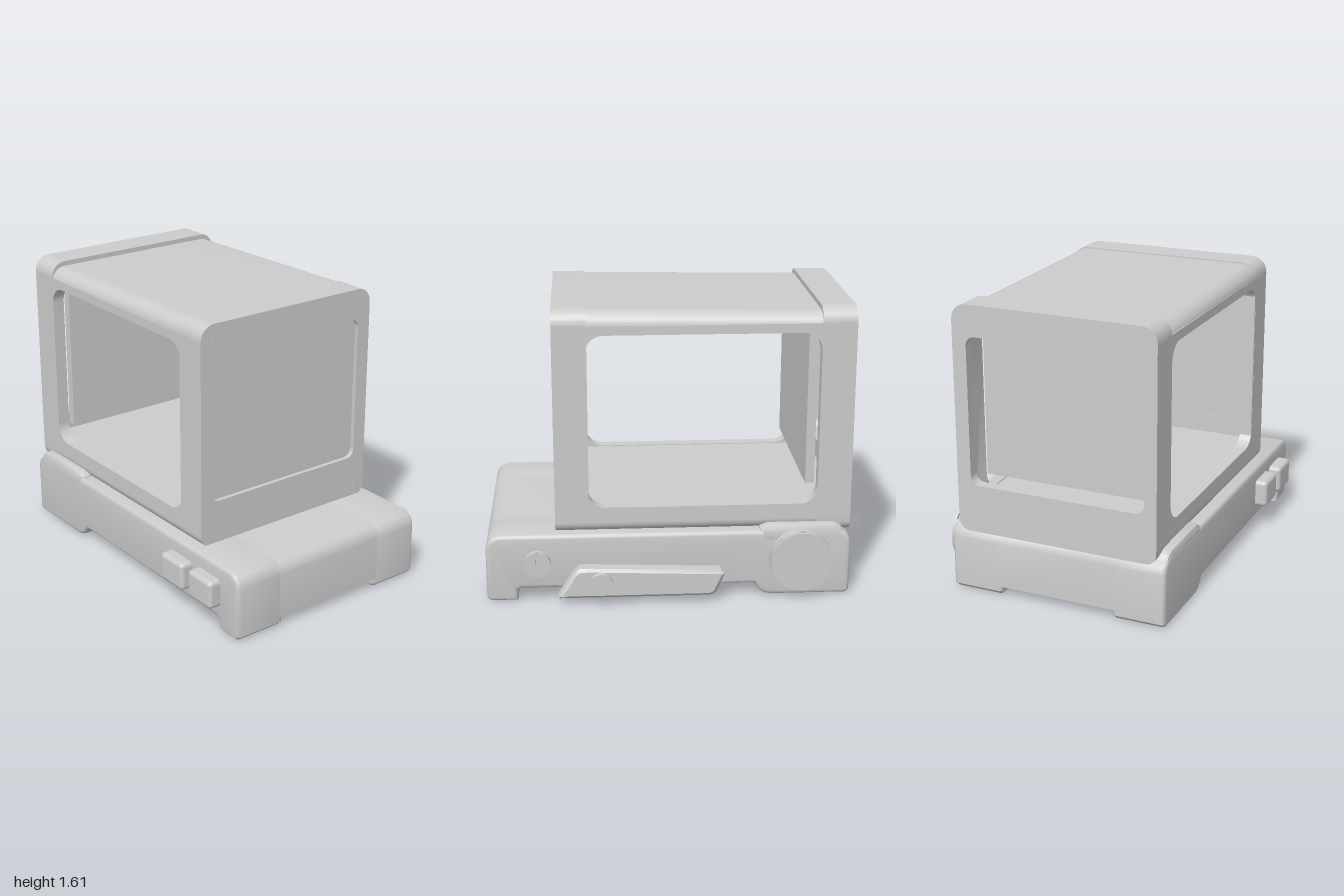
import * as THREE from 'three';
import { toCreasedNormals } from 'three/addons/utils/BufferGeometryUtils.js';
import { RoundedBoxGeometry } from 'three/addons/geometries/RoundedBoxGeometry.js';

const grey = new THREE.MeshStandardMaterial({ color: 0xcccccc });
grey.name = 'matte grey';

// Rounded rectangle path from corner limits
function roundRect(path, x0, x1, y0, y1, rBottom, rTop = rBottom) {
  path.moveTo(x0 + rBottom, y0);
  path.lineTo(x1 - rBottom, y0);
  path.absarc(x1 - rBottom, y0 + rBottom, rBottom, -Math.PI / 2, 0);
  path.absarc(x1 - rTop, y1 - rTop, rTop, 0, Math.PI / 2);
  path.absarc(x0 + rTop, y1 - rTop, rTop, Math.PI / 2, Math.PI);
  path.absarc(x0 + rBottom, y0 + rBottom, rBottom, Math.PI, Math.PI * 1.5);
  return path;
}

// Extrude a shape between two depths, with an optional bevel inside its outline
function extrude(shape, a, b, bevel = 0, bevelSegments = 1) {
  const geo = new THREE.ExtrudeGeometry(shape, {
    depth: b - a - 2 * bevel, curveSegments: 8, bevelEnabled: bevel > 0,
    bevelSize: bevel, bevelThickness: bevel, bevelOffset: -bevel, bevelSegments,
  });
  geo.translate(0, 0, a + bevel);
  return toCreasedNormals(geo, 0.6);
}

// Side profile (z, y) extruded across x
const sideShape = (pts) => new THREE.Shape(pts.map(([z, y]) => new THREE.Vector2(-z, y)));
const extrudeX = (shape, x0, x1, bevel, segments) =>
  extrude(shape, x0, x1, bevel, segments).rotateY(Math.PI / 2);

export function createModel() {
  const model = new THREE.Group();
  const add = (name, geo, x = 0, y = 0, z = 0) => {
    const mesh = new THREE.Mesh(geo, grey);
    mesh.name = name;
    mesh.position.set(x, y, z);
    model.add(mesh);
    return mesh;
  };
  const box = (name, x0, x1, y0, y1, z0, z1) => add(name, new THREE.BoxGeometry(x1 - x0, y1 - y0, z1 - z0),
    (x0 + x1) / 2, (y0 + y1) / 2, (z0 + z1) / 2);
  const disc = (name, r, x0, x1, y, z) => add(name,
    new THREE.CylinderGeometry(r, r, x1 - x0, 32).rotateZ(Math.PI / 2), (x0 + x1) / 2, y, z);

  // Base: two side sections with feet, and a centre section notched at both ends
  const deck = [[1, 0.3], [0.992, 0.335], [0.97, 0.363], [0.93, 0.38],
    [-0.92, 0.38], [-0.96, 0.367], [-0.99, 0.338], [-1, 0.3]];
  const rearToe = [[-0.56, 0], [-0.52, 0.01], [-0.49, 0.035], [-0.47, 0.07], [0.81, 0.07]];
  const side = sideShape([...deck, [-1, 0.02], [-0.98, 0], ...rearToe,
    [0.83, 0.06], [0.83, 0], [0.98, 0], [1, 0.02]]);
  const centre = sideShape([...deck, [-1, 0.05], [-0.84, 0.05], [-0.83, 0], ...rearToe,
    [0.83, 0.05], [1, 0.05]]);
  add('baseRight', extrudeX(side, -0.65, -0.35, 0.022, 3));
  add('baseLeft', extrudeX(side, 0.3, 0.6, 0.022, 3));
  add('baseCentre', extrudeX(centre, -0.38, 0.33));

  // Raised shoulders beside the back of the housing
  const shoulder = sideShape([[-0.49, 0.36], [-0.5, 0.39], [-0.54, 0.41], [-0.9, 0.41],
    [-0.94, 0.395], [-0.98, 0.34], [-0.98, 0.3], [-0.49, 0.3]]);
  add('shoulder', extrudeX(shoulder, 0.5, 0.6, 0.028, 2));
  add('shoulder', extrudeX(shoulder, -0.65, -0.55, 0.028, 2));

  // Housing ends: a raised band around the cavity and a thin plate with the window
  const ring = (name, z0, z1, y0, hole, r) => {
    const shape = roundRect(new THREE.Shape(), -0.599, 0.549, y0, 1.61, 0.06, 0.085);
    shape.holes.push(roundRect(new THREE.Path(), ...hole, r));
    add(name, extrude(shape, z0, z1));
  };
  const cavity = [-0.53, 0.48, 0.51, 1.48], opening = [-0.53, 0.47, 0.62, 1.44];
  ring('frontBand', 0.435, 0.56, 0.37, cavity, 0.02);
  ring('frontPlate', 0.55, 0.62, 0.37, opening, 0.05);
  ring('rearBand', -0.95, -0.815, 0.35, cavity, 0.02);
  ring('rearPlate', -1, -0.94, 0.35, opening, 0.05);

  // Side walls with large rounded windows
  const wall = sideShape([[0.62, 0.43], [0.62, 1.525], [-1, 1.525], [-1, 0.43]]);
  wall.holes.push(roundRect(new THREE.Path(), -0.445, 0.815, 0.515, 1.475, 0.1));
  add('sideWall', extrudeX(wall, 0.48, 0.55));
  add('sideWall', extrudeX(wall, -0.6, -0.53));

  // Roof with rounded shoulders, sinking slightly towards the back
  const roof = new THREE.Shape();
  roof.moveTo(-0.599, 1.48);
  roof.lineTo(0.549, 1.48);
  roof.absarc(0.464, 1.505, 0.085, 0, Math.PI / 2);
  roof.absarc(-0.514, 1.505, 0.085, Math.PI / 2, Math.PI);
  const roofGeo = extrude(roof, -0.85, 0.5);
  const p = roofGeo.attributes.position;
  for (let i = 0; i < p.count; i++) {
    if (p.getY(i) > 1.5) p.setY(i, p.getY(i) + (p.getZ(i) > 0 ? 0.014 : -0.008));
  }
  add('roof', roofGeo);

  // Housing floor with rounded lower edges
  const floor = new THREE.Shape();
  floor.moveTo(0.549, 0.51);
  floor.lineTo(-0.599, 0.51);
  floor.absarc(-0.539, 0.43, 0.06, Math.PI, Math.PI * 1.5);
  floor.absarc(0.489, 0.43, 0.06, -Math.PI / 2, 0);
  add('housingFloor', extrude(floor, -0.85, 0.5));

  // Front and rear panes
  box('frontPane', -0.54, 0.48, 0.6, 1.46, 0.555, 0.595);
  box('rearPane', -0.53, 0.48, 0.61, 1.48, -0.805, -0.755);

  // Thin diagonal marks in the frame corners
  for (const [x, sx] of [[-0.53, -1], [0.475, 1]]) {
    for (const [y, sy] of [[1.535, 1], [0.44, -1]]) {
      for (const z of [0.62, -1]) {
        const mark = add('cornerMark', new THREE.BoxGeometry(0.035, 0.005, 0.003), x, y, z);
        mark.rotation.z = -sx * sy * Math.PI / 4;
      }
    }
  }

  // Notched battery knob
  const notches = 8, rim = [];
  for (let i = 0; i < notches; i++) {
    const a = (i / notches) * Math.PI * 2;
    for (const [da, r] of [[-0.11, 0.17], [-0.11, 0.153], [0.11, 0.153], [0.11, 0.17],
      [0.25, 0.17], [0.393, 0.17], [0.535, 0.17]]) {
      rim.push([Math.cos(a + da) * r, Math.sin(a + da) * r]);
    }
  }
  disc('knobBase', 0.17, 0.58, 0.64, 0.22, -0.72);
  add('knob', extrudeX(sideShape(rim.reverse()), 0.64, 0.662), 0, 0.22, -0.72);
  disc('knobFace', 0.168, 0.66, 0.675, 0.22, -0.72);

  // Locking lever with its pivot pin
  const lever = sideShape([[0.61, 0.045], [0.52, 0.185], [0.49, 0.21], [0.43, 0.21],
    [-0.28, 0.182], [-0.3, 0.165], [-0.25, 0.055], [-0.22, 0.04], [0.6, 0.04]]);
  add('lever', extrudeX(lever, 0.59, 0.685, 0.016));
  disc('leverPin', 0.062, 0.67, 0.717, 0.13, 0.375);

  // Slotted screw: two half discs either side of a vertical slot
  disc('screwBase', 0.073, 0.58, 0.615, 0.22, 0.72);
  for (const turn of [0, Math.PI]) {
    const half = new THREE.Shape();
    half.absarc(0, 0, 0.073, turn - 1.42, turn + 1.42);
    add('screwHead', extrudeX(half, 0.615, 0.637), 0, 0.22, 0.72);
  }

  // Push buttons on the other side
  for (const z of [0.5, 0.75]) {
    add('button', new RoundedBoxGeometry(0.12, 0.16, 0.2, 3, 0.025), -0.66, 0.22, z);
  }
  return model;
}
